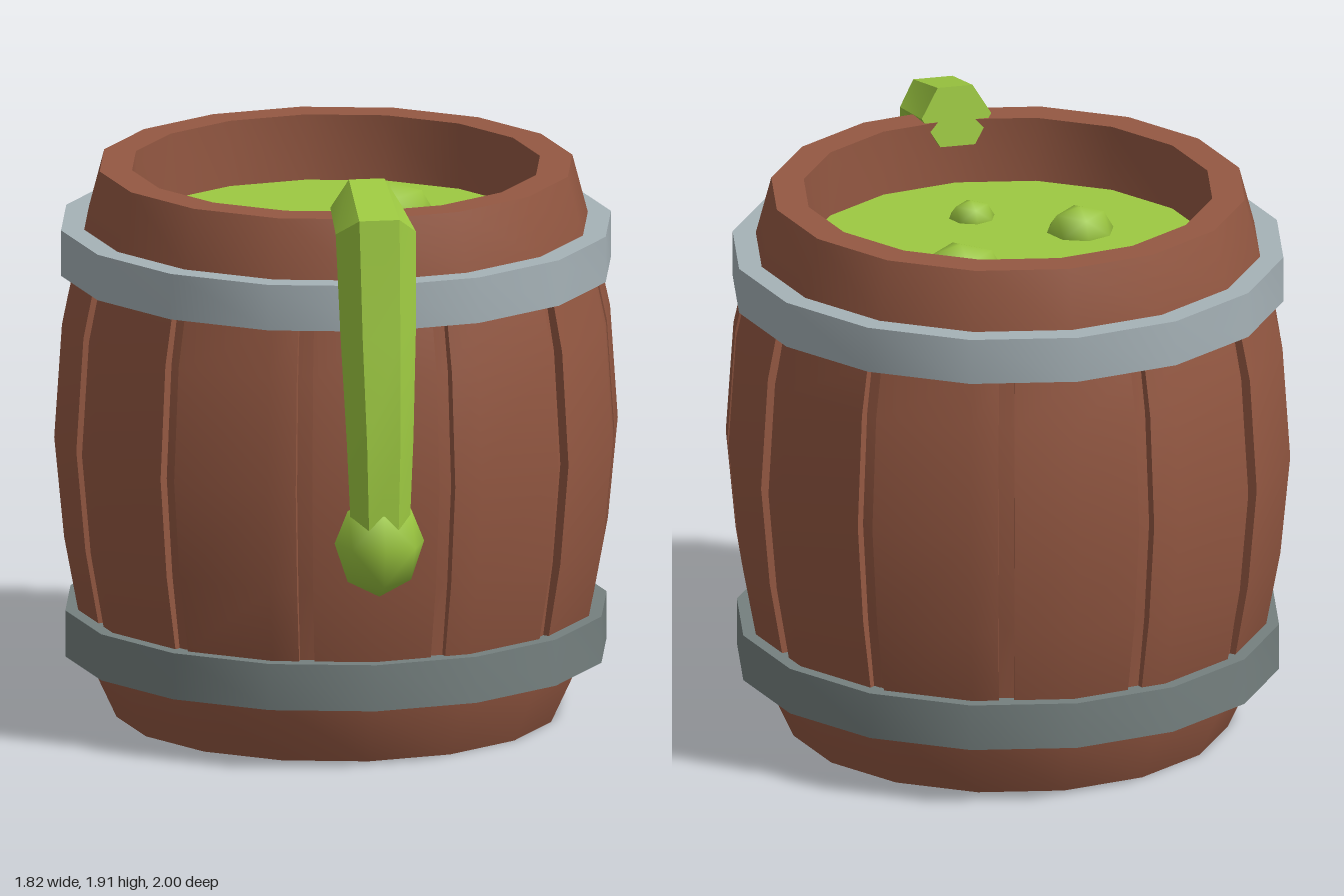
import * as THREE from 'three';
import { mergeGeometries, toCreasedNormals } from 'three/addons/utils/BufferGeometryUtils.js';

const SIDES = 16;
const CREASE = 0.6;

const material = (name, color) => {
  const m = new THREE.MeshStandardMaterial({ color });
  m.name = name;
  return m;
};

// Surface through equal-length rows of points; rows go up, points go left to right seen from outside
function sheet(rows) {
  const n = rows[0].length, index = [];
  for (let r = 0; r < rows.length - 1; r++) {
    for (let i = 0; i < n - 1; i++) {
      const a = r * n + i, b = a + 1, c = a + n, d = c + 1;
      index.push(a, b, d, a, d, c);
    }
  }
  const g = new THREE.BufferGeometry();
  g.setAttribute('position', new THREE.Float32BufferAttribute(rows.flat(2), 3));
  g.setIndex(index);
  return g;
}

const lathe = (profile) => toCreasedNormals(
  new THREE.LatheGeometry(profile.map(([r, y]) => new THREE.Vector2(r, y)), SIDES), CREASE);

// Point on the 16-sided outline of corner radius r; angle measured from +z towards +x
function onOutline(r, angle, y) {
  const step = 2 * Math.PI / SIDES;
  const local = angle - (Math.floor(angle / step) + 0.5) * step;
  const d = r * Math.cos(step / 2) / Math.cos(local);
  return [d * Math.sin(angle), y, d * Math.cos(angle)];
}

// One curved stave with side walls, bent at the outline corner inside its span
function staveGeometry(center) {
  const half = 0.232, step = 2 * Math.PI / SIDES;
  const corner = Math.round(center / step) * step;
  const angles = [center - half, corner, center + half];
  const profile = [[0.815, 0.3], [0.835, 0.36], [0.88, 0.6], [0.912, 0.93],
    [0.887, 1.3], [0.852, 1.46], [0.84, 1.54]];
  const outer = profile.map(([r, y]) => angles.map(a => onOutline(r, a, y)));
  const wall = (a, flip) => profile.map(([r, y]) => {
    const pair = [onOutline(r, a, y), onOutline(r - 0.05, a, y)];
    return flip ? pair.reverse() : pair;
  });
  return toCreasedNormals(mergeGeometries([
    sheet(outer), sheet(wall(angles[0], true)), sheet(wall(angles[2], false)),
  ]), CREASE);
}

// Six-sided slime run; each ring is [outerZ, outerY, innerZ, innerY, halfWidth]
function dripGeometry(rings) {
  const rows = rings.map(([oz, oy, iz, iy, w]) => {
    const row = [];
    for (let i = 0; i <= 6; i++) {
      const a = i * Math.PI / 3, t = Math.sin(a) / Math.sin(Math.PI / 3) / 2;
      row.push([w * Math.cos(a), (oy + iy) / 2 + t * (oy - iy), (oz + iz) / 2 + t * (oz - iz)]);
    }
    return row;
  });
  const cap = ([oz, oy, iz, iy]) => Array.from({ length: 7 }, () => [0, (oy + iy) / 2, (oz + iz) / 2]);
  rows.unshift(cap(rings[0]));
  rows.push(cap(rings[rings.length - 1]));
  return toCreasedNormals(sheet(rows), CREASE);
}

// Faceted blob whose upper and lower halves have their own heights
function blobGeometry(r, up, down) {
  const g = new THREE.OctahedronGeometry(r, 1);
  const p = g.attributes.position;
  for (let i = 0; i < p.count; i++) {
    const y = p.getY(i);
    p.setY(i, y * (y > 0 ? up : down) / r);
  }
  return g;
}

export function createModel() {
  const wood = material('brown wood', 0x945842);
  const lightMetal = material('light grey metal', 0xa6b2b7);
  const darkMetal = material('dark grey metal', 0x75807f);
  const slime = material('green slime', 0x9dc941);

  const model = new THREE.Group();
  model.name = 'slimeBarrel';
  const barrel = new THREE.Group();
  barrel.name = 'barrel';
  barrel.position.z = -0.088;
  model.add(barrel);

  const add = (parent, name, geometry, mat) => {
    const mesh = new THREE.Mesh(geometry, mat);
    mesh.name = name;
    parent.add(mesh);
    return mesh;
  };

  // Barrel body with floor, rim and inner wall
  add(barrel, 'body', lathe([[0, 0], [0.71, 0], [0.805, 0.205], [0.81, 0.34], [0.85, 0.6],
    [0.88, 0.93], [0.855, 1.3], [0.825, 1.46], [0.815, 1.61], [0.765, 1.8],
    [0.66, 1.8], [0.66, 1.56]]), wood);

  // Twelve staves separated by narrow grooves
  for (let i = 0; i < 12; i++) add(barrel, 'stave', staveGeometry(i * Math.PI / 6), wood);

  // Metal hoops
  const hoop = (name, r, y0, y1, mat) => add(barrel, name,
    lathe([[0.78, y0], [r, y0], [r, y1], [0.78, y1]]), mat);
  hoop('lowerHoop', 0.876, 0.205, 0.357, darkMetal);
  hoop('upperHoop', 0.89, 1.46, 1.61, lightMetal);

  // Liquid surface and bubbles
  const liquid = add(barrel, 'liquid', new THREE.CircleGeometry(0.66, SIDES), slime);
  liquid.rotation.x = -Math.PI / 2;
  liquid.position.y = 1.585;
  for (const [x, z, r] of [[0.2, -0.255, 0.145], [-0.275, 0.05, 0.11], [0.03, 0.255, 0.075]]) {
    const bubble = add(model, 'bubble', blobGeometry(r, r * 0.72, r * 0.72), slime);
    bubble.position.set(x, 1.585, z);
  }

  // Slime running over the rim, ending in a drop
  add(model, 'drip', dripGeometry([
    [0.58, 1.91, 0.545, 1.72, 0.115],
    [0.86, 1.84, 0.70, 1.72, 0.13],
    [0.905, 1.46, 0.755, 1.46, 0.122],
    [0.955, 1.12, 0.79, 1.12, 0.108],
    [0.955, 0.82, 0.80, 0.82, 0.095],
  ]), slime);
  const drop = add(model, 'drop', blobGeometry(0.145, 0.15, 0.18), slime);
  drop.position.set(0, 0.78, 0.857);

  return model;
}
